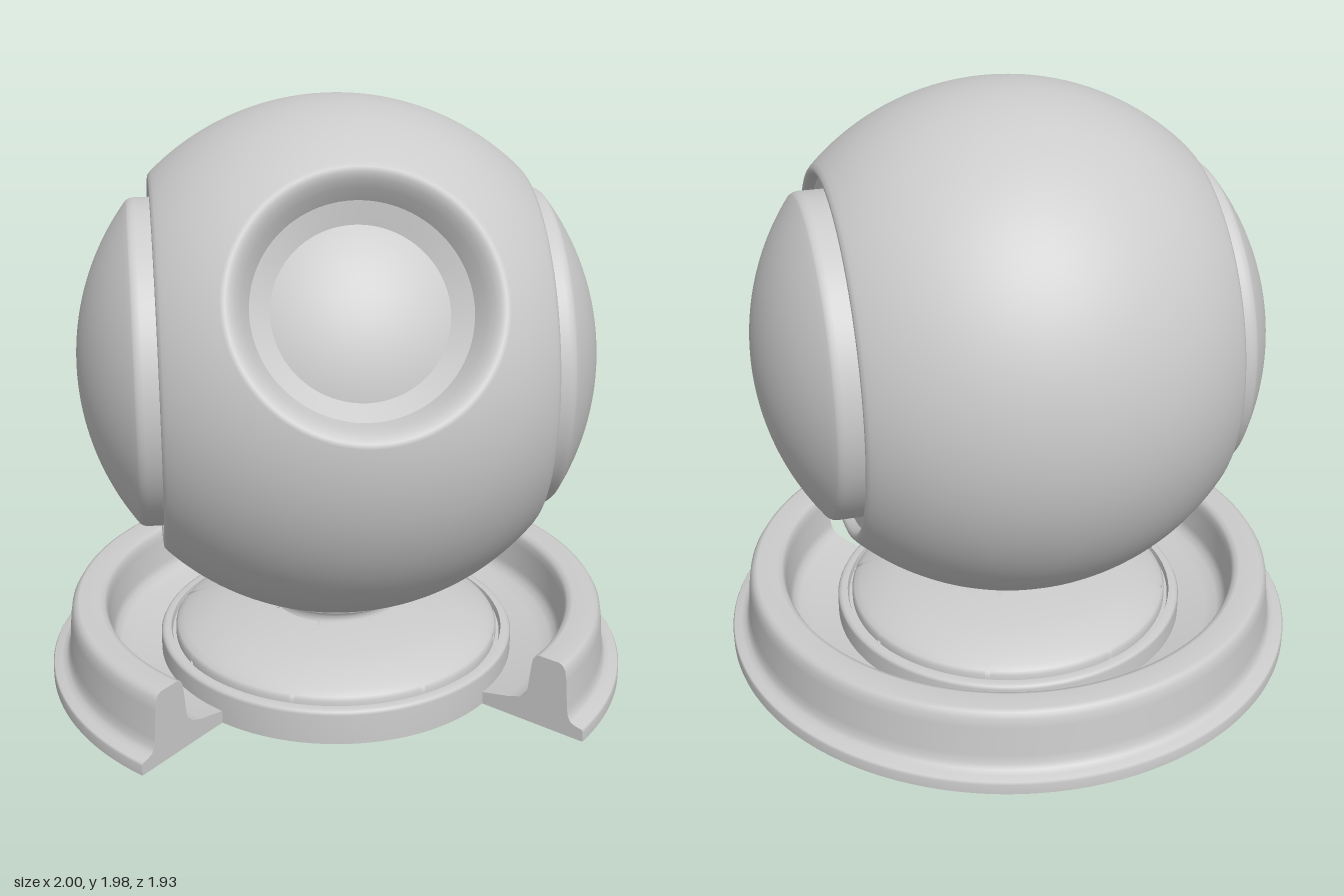
import * as THREE from 'three';

const R = 0.86; // ball radius
const rad = THREE.MathUtils.degToRad;
const mat = new THREE.MeshStandardMaterial({ color: 0xcccccc });
const matDouble = new THREE.MeshStandardMaterial({ color: 0xcccccc, side: THREE.DoubleSide });

const mesh = (name, geometry, material = mat) => {
  const m = new THREE.Mesh(geometry, material);
  m.name = name;
  return m;
};

// Lathe from [radius, height] pairs; a repeated pair makes a sharp edge
const lathe = (pts, segs = 96, start = 0, length = Math.PI * 2) =>
  new THREE.LatheGeometry(pts.map(([x, y]) => new THREE.Vector2(x, y)), segs, start, length);

// Points on the circle of radius r, angles measured from the lathe axis
const arc = (r, from, to, n) => Array.from({ length: n + 1 }, (_, i) => {
  const a = rad(from + ((to - from) * i) / n);
  return [r * Math.sin(a), r * Math.cos(a)];
});

// Cuts a round hole in the ball, pulling the ragged border onto a clean circle
function cutHole(geo, axis, angle) {
  const pos = geo.attributes.position, nor = geo.attributes.normal;
  const v = new THREE.Vector3(), side = new THREE.Vector3();
  const inside = [];
  for (let i = 0; i < pos.count; i++) {
    inside.push(v.fromBufferAttribute(pos, i).angleTo(axis) < angle);
  }
  const kept = [], idx = geo.index.array;
  for (let i = 0; i < idx.length; i += 3) {
    const t = [idx[i], idx[i + 1], idx[i + 2]];
    if (!t.every((k) => inside[k])) kept.push(...t);
  }
  for (const k of new Set(kept)) {
    if (!inside[k]) continue;
    v.fromBufferAttribute(pos, k);
    side.copy(v).addScaledVector(axis, -v.dot(axis)).normalize();
    v.copy(axis).multiplyScalar(Math.cos(angle)).addScaledVector(side, Math.sin(angle));
    nor.setXYZ(k, v.x, v.y, v.z);
    v.multiplyScalar(R);
    pos.setXYZ(k, v.x, v.y, v.z);
  }
  geo.setIndex(kept);
  return geo;
}

function makeBall() {
  const ball = new THREE.Group();
  ball.name = 'ball';

  // Shell turned about the x axis, with a groove at each side
  const groove = [[0.612, 0.602], [0.6, 0.604], [0.591, 0.597], [0.586, 0.585],
    [0.582, 0.57], [0.582, 0.57], [0.52, 0.57]];
  const lower = groove.map(([x, y]) => [x, -y]).reverse();
  const shell = lathe([...lower, ...arc(R, 133.5, 46.5, 64), ...groove], 128).rotateZ(-Math.PI / 2);
  const eyeAxis = new THREE.Vector3(0, Math.sin(rad(30)), Math.cos(rad(30)));
  ball.add(mesh('shell', cutHole(shell, eyeAxis, Math.asin(0.425 / R))));

  // Round side caps
  for (const s of [1, -1]) {
    const cap = lathe([[0.54, 0.56], [0.54, 0.65], [0.538, 0.664], [0.533, 0.673],
      ...arc(R, 38, 0, 24)]).rotateZ((-s * Math.PI) / 2);
    ball.add(mesh(s > 0 ? 'leftCap' : 'rightCap', cap));
  }

  // Rounded lip and recess of the front opening, with a domed lens inside
  const lip = lathe([[0.44, 0.735], [0.425, 0.748], [0.411, 0.751], [0.396, 0.746], [0.38, 0.732],
    [0.36, 0.705], [0.335, 0.66], [0.335, 0.66], [0.27, 0.62], [0.24, 0.6]]).rotateX(rad(60));
  ball.add(mesh('openingLip', lip));
  ball.add(mesh('lens', lathe(arc(0.677, 27, 0, 16)).rotateX(rad(60))));

  ball.position.y = 1.12;
  return ball;
}

function makeBase() {
  const base = new THREE.Group();
  base.name = 'base';

  // Outer tray with a raised wall, open for a quarter turn at the front
  const tray = [[0.6, 0], [1, 0], [1, 0], [1, 0.035], [0.995, 0.043], [0.97, 0.047], [0.953, 0.056],
    [0.943, 0.072], [0.938, 0.1], [0.93, 0.2], [0.925, 0.232], [0.914, 0.25], [0.9, 0.256],
    [0.83, 0.256], [0.813, 0.25], [0.804, 0.235], [0.8, 0.21], [0.79, 0.12], [0.78, 0.095],
    [0.76, 0.08], [0.72, 0.066], [0.6, 0.04]];
  base.add(mesh('trayWall', lathe(tray, 112, Math.PI / 4, Math.PI * 1.5)));
  const section = new THREE.Shape(tray.map(([x, y]) => new THREE.Vector2(x, y)));
  for (const s of [1, -1]) {
    const end = mesh('trayEnd', new THREE.ShapeGeometry(section), matDouble);
    end.rotation.y = (s * Math.PI) / 4 - Math.PI / 2;
    base.add(end);
  }

  // Central disc
  base.add(mesh('disc', lathe([[0, 0], [0.62, 0], [0.62, 0], [0.62, 0.105], [0.615, 0.115],
    [0.605, 0.12], [0.585, 0.12], [0.585, 0.12], [0.58, 0.1], [0.58, 0.1], [0, 0.1]])));

  // Dome of eight plates over a slightly lower core
  const dome = [[0.568, 0.1], [0.568, 0.125], [0.56, 0.137], [0.54, 0.15], [0.5, 0.169],
    [0.45, 0.186], [0.4, 0.2], [0.3, 0.218], [0.2, 0.228]];
  base.add(mesh('domeCore', lathe(dome.map(([x, y]) => [x - 0.006, y - 0.012]))));
  const gap = rad(1.6);
  for (let i = 0; i < 8; i++) {
    const start = rad(22.5 + 45 * i) + gap / 2;
    base.add(mesh('domePlate', lathe(dome, 14, start, Math.PI / 4 - gap), matDouble));
  }

  // Flared neck that carries the ball
  base.add(mesh('neck', lathe([[0.235, 0.2], [0.222, 0.23], [0.22, 0.245], [0.228, 0.262],
    [0.25, 0.279], [0.285, 0.294], [0.303, 0.3], [0.303, 0.3], [0.307, 0.305], [0.307, 0.32],
    [0.3, 0.326], [0.27, 0.33]], 64)));
  return base;
}

export function createModel() {
  const model = new THREE.Group();
  model.name = 'previewBall';
  const turned = new THREE.Group();
  turned.name = 'ballOnStand';
  turned.add(makeBall(), makeBase());
  turned.rotation.y = rad(-24);
  turned.position.z = 0.03;
  model.add(turned);
  return model;
}
